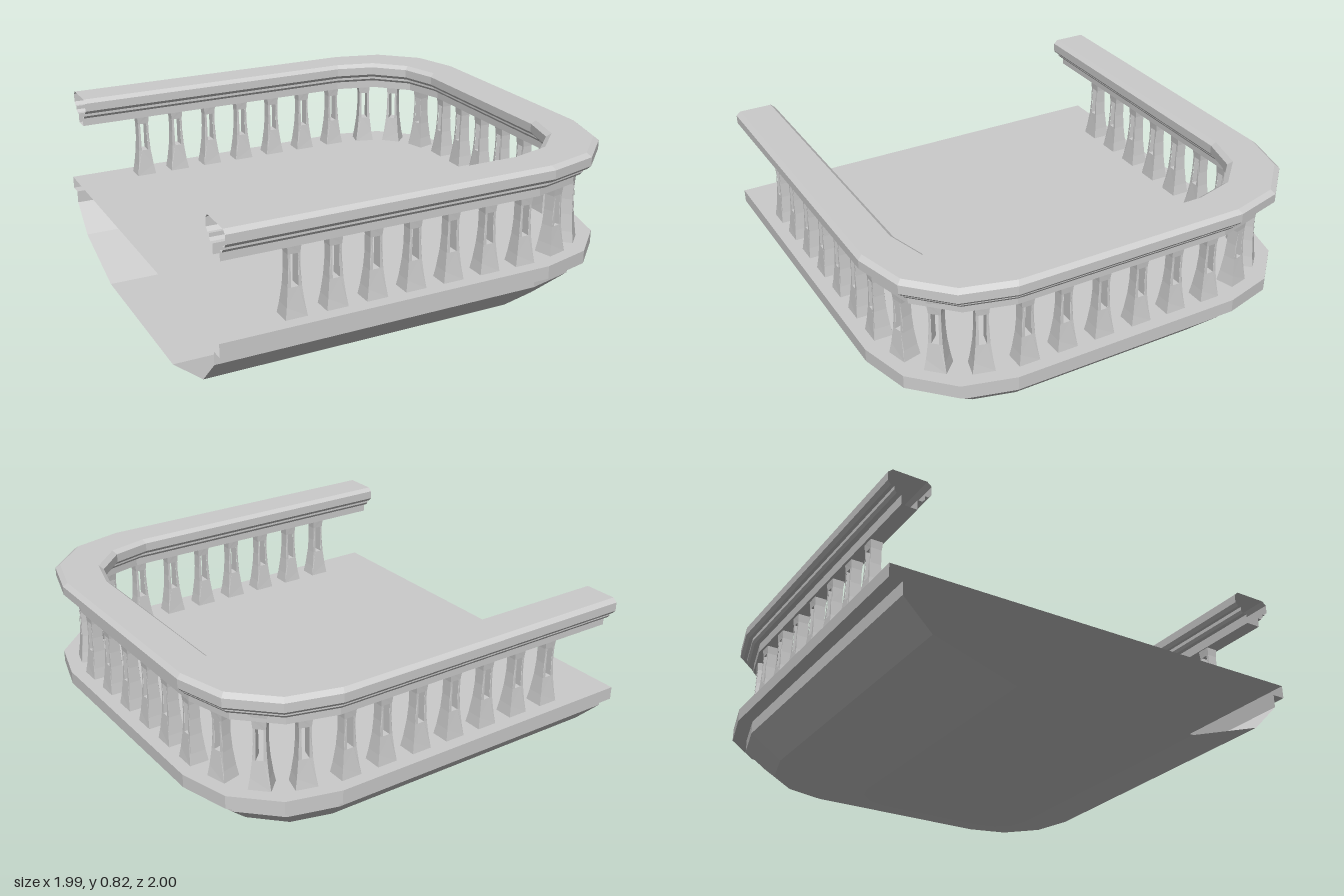
import * as THREE from 'three';

const solid = new THREE.MeshStandardMaterial({ color: 0xcccccc, flatShading: true });
const open = new THREE.MeshStandardMaterial({ color: 0xcccccc, flatShading: true, side: THREE.DoubleSide });

// U-shaped plan outline, inset by d from the outer edge, starting at x0
function outline(d, x0) {
  const cx = 0.52 - 0.45 * d, cz = 0.54 - 0.5 * d;
  const rx = 0.99 - d - cx, rz = 1 - d - cz;
  const half = [[x0, 1 - d]];
  for (let i = 0; i <= 3; i++) {
    const a = i * Math.PI / 6;
    half.push([cx + rx * Math.sin(a), cz + rz * Math.cos(a)]);
  }
  return [...half, ...half.slice().reverse().map(([x, z]) => [x, -z])];
}

// Sweep an [inset, height] profile around the outline
function sweep(profile, x0) {
  const rows = profile.map(([d, y]) => outline(d, x0).map(([x, z]) => [x, y, z]));
  const pos = [];
  for (let j = 0; j < rows.length - 1; j++) {
    for (let i = 0; i < rows[j].length - 1; i++) {
      const a = rows[j][i], b = rows[j][i + 1], c = rows[j + 1][i], e = rows[j + 1][i + 1];
      pos.push(...a, ...c, ...b, ...b, ...c, ...e);
    }
  }
  const g = new THREE.BufferGeometry();
  g.setAttribute('position', new THREE.Float32BufferAttribute(pos, 3));
  g.computeVertexNormals();
  return g;
}

// Flat plate filling the outline
function plate(d, y, up) {
  const shape = new THREE.Shape(outline(d, -1).map(([x, z]) => new THREE.Vector2(x, z)));
  return new THREE.ShapeGeometry(shape).rotateX(up ? -Math.PI / 2 : Math.PI / 2).translate(0, y, 0);
}

// Flared, slotted baluster; [height, half width]
const flare = [[0.37, 0.048], [0.42, 0.04], [0.5, 0.031], [0.57, 0.027], [0.64, 0.027], [0.68, 0.031], [0.72, 0.036]];
function balusterGeometry() {
  const v = (x, y) => new THREE.Vector2(x, y);
  const right = flare.map(([y, w]) => v(w, y));
  const left = flare.map(([y, w]) => v(-w, y)).reverse();
  const shape = new THREE.Shape([...right, ...left]);
  const s = 0.016;
  shape.holes.push(new THREE.Path([v(-s, 0.5), v(-s, 0.57), v(-s, 0.64), v(s, 0.64), v(s, 0.57), v(s, 0.5)]));
  const g = new THREE.ExtrudeGeometry(shape, { depth: 2, bevelEnabled: false }).translate(0, 0, -1);
  // Flare the depth like the width
  const p = g.attributes.position;
  for (let i = 0; i < p.count; i++) {
    const y = p.getY(i);
    const k = flare.find(f => Math.abs(f[0] - y) < 1e-3);
    p.setZ(i, p.getZ(i) * k[1] * 0.9);
  }
  g.computeVertexNormals();
  return g;
}

export function createModel() {
  const model = new THREE.Group();
  model.name = 'balcony';
  const add = (name, geometry, material, parent = model) => {
    const mesh = new THREE.Mesh(geometry, material);
    mesh.name = name;
    parent.add(mesh);
    return mesh;
  };

  // Floor slab edge and tapering underside, open at the wall end
  add('deck', plate(0, 0.37, true), open);
  add('slabAndHull', sweep([[0, 0.37], [0, 0.31], [0.06, 0.31], [0.06, 0.25], [0.19, 0.12], [0.56, 0]], -1), open);
  add('underside', plate(0.56, 0, false), open);

  // Moulded handrail, symmetric about its centre line
  const W = 0.195;
  const outer = [[0.02, 0.825], [0, 0.808], [0, 0.768], [0.014, 0.752], [0.03, 0.752],
    [0.03, 0.735], [0.04, 0.722], [0.062, 0.722], [0.062, 0.677]];
  const inner = outer.map(([d, y]) => [W - d, y]).reverse();
  add('handrail', sweep([...outer, ...inner, outer[0]], -0.96), open);

  // Balusters: straight sides, rounded corners, front row
  const balusters = new THREE.Group();
  balusters.name = 'balusters';
  model.add(balusters);
  const geometry = balusterGeometry();
  const place = (x, z, angle) => {
    const b = add('baluster', geometry, solid, balusters);
    b.position.set(x, 0, z);
    b.rotation.y = angle;
  };
  for (const side of [1, -1]) {
    const turn = a => (side > 0 ? a : Math.PI - a);
    for (let i = 0; i < 7; i++) place(-0.65 + 0.181 * i, side * 0.9, turn(0));
    place(0.62, side * 0.867, turn(Math.PI / 12));
    place(0.765, side * 0.785, turn(Math.PI / 4));
    place(0.855, side * 0.635, turn(Math.PI * 5 / 12));
    for (let i = 0; i < 3; i++) place(0.89, side * (0.093 + 0.181 * i), turn(Math.PI / 2));
  }
  return model;
}
